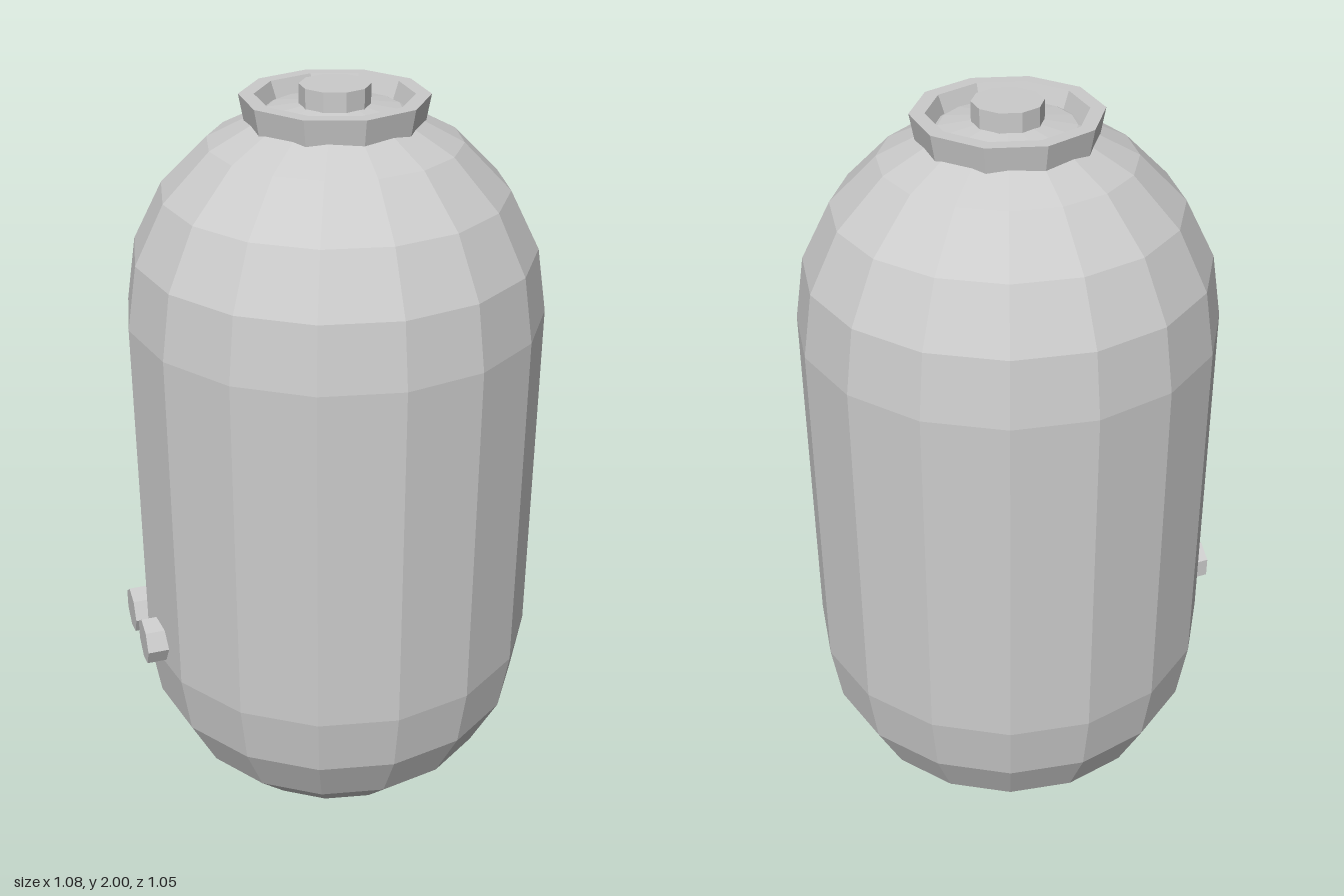
import * as THREE from 'three';

export function createModel() {
  const model = new THREE.Group();
  const cx = 0.01; // the tank sits slightly off centre because of the side valves
  const material = new THREE.MeshStandardMaterial({ color: 0xcccccc, flatShading: true });

  const add = (name, geometry, x, y, z) => {
    const mesh = new THREE.Mesh(geometry, material);
    mesh.name = name;
    mesh.position.set(x, y, z);
    model.add(mesh);
    return mesh;
  };
  const lathe = (points, sides) =>
    new THREE.LatheGeometry(points.map(([r, y]) => new THREE.Vector2(r, y)), sides);

  // Capsule tank: two five-step domes joined by a straight wall
  const R = 0.523, low = 0.524, high = 1.443, steps = 5;
  const profile = [];
  for (let i = 0; i <= steps; i++) {
    const a = (i / steps) * Math.PI / 2;
    profile.push([R * Math.sin(a), low - R * Math.cos(a)]);
  }
  for (let i = 0; i <= steps; i++) {
    const a = (i / steps) * Math.PI / 2;
    profile.push([R * Math.cos(a), high + R * Math.sin(a)]);
  }
  add('tank', lathe(profile, 16), cx, 0, 0);

  // Slightly flared ten-sided collar around the top
  add('collar', lathe([
    [0.16, 1.91], [0.215, 1.91], [0.227, 1.975], [0.19, 1.975], [0.165, 1.91],
  ], 10), cx, 0, 0);

  // Cap in the middle of the collar
  add('topCap', new THREE.CylinderGeometry(0.085, 0.085, 0.06, 10), cx, 1.97, 0);

  // Pair of seven-sided valves low on the side
  for (const [name, z] of [['rearValve', -0.083], ['frontValve', 0.071]]) {
    const valve = add(name, new THREE.CylinderGeometry(0.06, 0.06, 0.1, 7), -0.492, 0.583, z);
    valve.rotation.z = Math.PI / 2;
  }

  return model;
}
